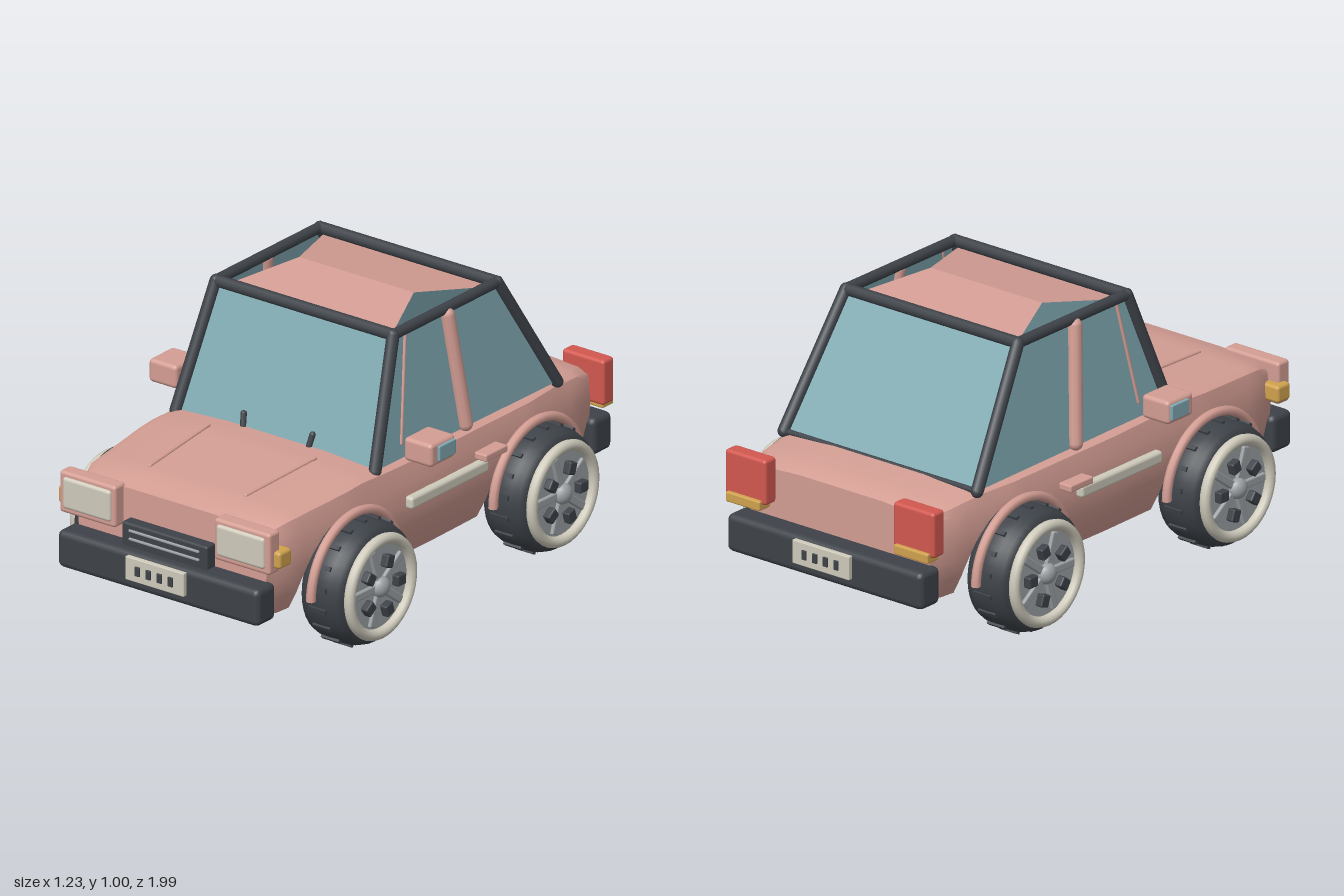
import * as THREE from 'three';
import { toCreasedNormals } from 'three/addons/utils/BufferGeometryUtils.js';
import { RoundedBoxGeometry } from 'three/addons/geometries/RoundedBoxGeometry.js';

const mat = (name, color, side = THREE.FrontSide) => new THREE.MeshStandardMaterial({ name, color, side });
const V = (x, y, z) => new THREE.Vector3(x, y, z);

export function createModel() {
  const paint = mat('pinkPaint', 0xd49e94, THREE.DoubleSide);
  const glass = mat('tealGlass', 0x80a9b2, THREE.DoubleSide);
  const dark = mat('charcoal', 0x3e4349);
  const cream = mat('cream', 0xcfcbbc);
  const steel = mat('steel', 0x9da2a5);
  const red = mat('tailRed', 0xd2584f);
  const amber = mat('amber', 0xd0a24e);

  const car = new THREE.Group();
  car.name = 'car';

  const add = (name, geo, material, x = 0, y = 0, z = 0, parent = car) => {
    const m = new THREE.Mesh(geo, material);
    m.name = name;
    m.position.set(x, y, z);
    parent.add(m);
    return m;
  };
  // Rounded box given by its size and centre
  const box = (name, material, [w, h, d], [x, y, z], r = 0.012, parent = car) =>
    add(name, new RoundedBoxGeometry(w, h, d, 2, Math.min(r, w / 2.1, h / 2.1, d / 2.1)), material, x, y, z, parent);
  // Round bar between two points
  const bar = (name, material, a, b, r) => {
    const m = add(name, new THREE.CapsuleGeometry(r, a.distanceTo(b), 4, 10), material);
    m.position.copy(a).lerp(b, 0.5);
    m.quaternion.setFromUnitVectors(V(0, 1, 0), b.clone().sub(a).normalize());
  };
  // Flat panel through a loop of corners
  const panel = (name, material, pts) => {
    const g = new THREE.BufferGeometry().setFromPoints(pts);
    const idx = [];
    for (let i = 1; i < pts.length - 1; i++) idx.push(0, i, i + 1);
    g.setIndex(idx);
    const flat = g.toNonIndexed();
    flat.computeVertexNormals();
    add(name, flat, material);
  };

  // Body: cross-sections from nose to tail, with the arches cut through the underside
  const lookup = (table, v) => {
    for (let i = 1; i < table.length; i++) {
      const [a, fa] = table[i - 1], [b, fb] = table[i];
      if (v <= b) return fa + (fb - fa) * Math.max(0, (v - a) / (b - a));
    }
    return table[table.length - 1][1];
  };
  const topAt = z => lookup([[-0.89, 0.5], [-0.84, 0.52], [-0.65, 0.54], [0.3, 0.555], [0.42, 0.56], [0.8, 0.535], [0.89, 0.51]], z);
  const widthAt = z => lookup([[-0.89, 0.4], [-0.8, 0.43], [-0.5, 0.465], [0, 0.475], [0.5, 0.465], [0.8, 0.435], [0.89, 0.405]], z);
  const bulge = y => lookup([[0.18, 0.86], [0.25, 0.94], [0.32, 0.985], [0.4, 1], [0.48, 0.985]], y);

  const stations = [[0.89, 0.2], [0.85, 0.185], [0.8, 0.18]];
  const R = 0.24, archY = 0.23;
  for (const c of [0.5, -0.5]) {
    stations.push([c + R, 0.18]);
    for (let i = 0; i <= 20; i++) {
      const a = (i / 20) * Math.PI;
      stations.push([c + R * Math.cos(a), archY + R * Math.sin(a)]);
    }
    stations.push([c - R, 0.18]);
    if (c > 0) stations.push([0.12, 0.18], [0, 0.18], [-0.12, 0.18]);
  }
  stations.push([-0.8, 0.18], [-0.85, 0.185], [-0.89, 0.2]);

  const section = ([z, b]) => {
    const w = widthAt(z), t = topAt(z);
    const half = [[w * bulge(b), b]];
    for (const l of [0.25, 0.32, 0.4, 0.48]) {
      const y = Math.max(b, l);
      half.push([w * bulge(y), y]);
    }
    half.push([w * 0.955, t - 0.015], [w * 0.88, t], [w * 0.45, t + 0.01]);
    return [...half, ...half.slice().reverse().map(([x, y]) => [-x, y])].map(([x, y]) => [x, y, z]);
  };
  const rings = stations.map(section);
  const n = rings[0].length;
  const pos = rings.flat(2), idx = [];
  for (let i = 0; i < rings.length - 1; i++) {
    for (let j = 0; j < n; j++) {
      const k = (j + 1) % n, a = i * n + j, b = a + n, c = i * n + k, d = c + n;
      idx.push(a, b, c, b, d, c);
    }
  }
  const last = (rings.length - 1) * n;
  for (let j = 1; j < n - 1; j++) idx.push(0, j, j + 1, last, last + j + 1, last + j);
  const bodyGeo = new THREE.BufferGeometry();
  bodyGeo.setAttribute('position', new THREE.Float32BufferAttribute(pos, 3));
  bodyGeo.setIndex(idx);
  add('body', toCreasedNormals(bodyGeo, 0.6), paint);

  // Cabin corners, side s = +1 left, -1 right
  const fb = s => V(0.425 * s, 0.55, 0.325), ft = s => V(0.378 * s, 0.985, 0.165);
  const rb = s => V(0.425 * s, 0.54, -0.675), rt = s => V(0.378 * s, 0.985, -0.405);

  panel('windscreen', glass, [fb(-1), fb(1), ft(1), ft(-1)]);
  panel('rearWindow', glass, [rb(1), rb(-1), rt(-1), rt(1)]);
  bar('frontRoofRail', dark, ft(-1), ft(1), 0.021);
  bar('rearRoofRail', dark, rt(-1), rt(1), 0.021);
  bar('rearWindowSill', dark, rb(-1), rb(1), 0.011);

  // Roof: two slopes meeting at a ridge, open at the ends
  for (const z of [0.16, -0.4]) {
    panel('roofPanel', paint, z > 0
      ? [V(-0.36, 0.965, z), V(0.36, 0.965, z), V(0.245, 1.008, -0.12), V(-0.245, 1.008, -0.12)]
      : [V(0.36, 0.965, z), V(-0.36, 0.965, z), V(-0.245, 1.008, -0.12), V(0.245, 1.008, -0.12)]);
  }

  // Wheel, built with its outer face towards +y
  const profile = [[0.14, -0.085], [0.185, -0.09], [0.208, -0.075], [0.218, -0.045], [0.22, 0], [0.218, 0.045],
    [0.208, 0.075], [0.185, 0.09], [0.145, 0.088], [0.14, 0.06], [0.14, -0.085]].map(([r, y]) => new THREE.Vector2(r, y));
  const makeWheel = name => {
    const w = new THREE.Group();
    w.name = name;
    add('tyre', toCreasedNormals(new THREE.LatheGeometry(profile, 40), 0.8), dark, 0, 0, 0, w);
    add('wheelBack', new THREE.CylinderGeometry(0.142, 0.142, 0.02, 32), dark, 0, 0.0, 0, w);
    add('rim', new THREE.CylinderGeometry(0.155, 0.145, 0.08, 32), steel, 0, 0.052, 0, w);
    const ring = add('whitewall', new THREE.TorusGeometry(0.17, 0.02, 10, 40), cream, 0, 0.1, 0, w);
    ring.rotation.x = Math.PI / 2;
    const hub = add('hubCap', new THREE.SphereGeometry(0.038, 16, 10), steel, 0, 0.1, 0, w);
    hub.scale.y = 0.8;
    for (let i = 0; i < 18; i++) {
      const a = (i / 18) * Math.PI * 2;
      const t = add('treadBlock', new THREE.BoxGeometry(0.018, 0.075, 0.016), dark, 0.218 * Math.cos(a), 0, -0.218 * Math.sin(a), w);
      t.rotation.y = a;
    }
    for (let i = 0; i < 5; i++) {
      const a = (i / 5) * Math.PI * 2 + 0.3;
      const lug = box('rimBlock', dark, [0.045, 0.03, 0.04], [0.092 * Math.cos(a), 0.108, -0.092 * Math.sin(a)], 0.006, w);
      lug.rotation.y = a;
      const b = a + Math.PI / 5;
      const spoke = box('spoke', steel, [0.12, 0.02, 0.03], [0.085 * Math.cos(b), 0.094, -0.085 * Math.sin(b)], 0.006, w);
      spoke.rotation.y = b;
    }
    return w;
  };

  // Everything mirrored left and right
  for (const s of [1, -1]) {
    panel('sideWindow', glass, s > 0 ? [fb(s), rb(s), rt(s), ft(s)] : [rb(s), fb(s), ft(s), rt(s)]);
    bar('frontPillar', dark, fb(s), ft(s), 0.022);
    bar('rearPillar', dark, rb(s), rt(s), 0.022);
    bar('sideRoofRail', dark, ft(s), rt(s), 0.02);
    bar('doorPillar', paint, V(0.43 * s, 0.56, -0.165), V(0.388 * s, 0.965, -0.12), 0.026);
    bar('windowDivider', paint, V(0.42 * s, 0.6, 0.175), V(0.382 * s, 0.97, 0.105), 0.006);

    for (const z of [0.5, -0.5]) {
      const wheel = makeWheel(z > 0 ? 'frontWheel' : 'rearWheel');
      wheel.position.set(0.485 * s, 0.23, z);
      wheel.rotation.z = -s * Math.PI / 2;
      car.add(wheel);
      const arch = add('wheelArch', new THREE.TorusGeometry(0.243, 0.017, 8, 28, Math.PI), paint, 0.477 * s, archY, z);
      arch.rotation.y = Math.PI / 2;
    }

    box('doorTrim', cream, [0.035, 0.046, 0.425], [0.481 * s, 0.41, 0.002]);
    box('doorHandle', paint, [0.06, 0.026, 0.12], [0.485 * s, 0.45, -0.23], 0.006);
    box('mirror', paint, [0.12, 0.085, 0.135], [0.545 * s, 0.623, 0.18], 0.015);
    box('mirrorGlass', glass, [0.02, 0.055, 0.09], [0.605 * s, 0.625, 0.168], 0.004);

    box('headlightHousing', paint, [0.24, 0.152, 0.06], [0.33 * s, 0.455, 0.905]);
    box('headlight', cream, [0.205, 0.115, 0.03], [0.328 * s, 0.457, 0.93]);
    box('indicator', amber, [0.08, 0.062, 0.068], [0.435 * s, 0.43, 0.877]);
    box('tailLight', red, [0.18, 0.165, 0.06], [0.37 * s, 0.467, -0.915]);
    box('rearIndicator', amber, [0.15, 0.036, 0.06], [0.37 * s, 0.385, -0.93], 0.006);

    bar('wiper', dark, V(0.138 * s, 0.55, 0.325), V(0.147 * s, 0.607, 0.31), 0.011);
    bar('hoodCrease', paint, V(0.228 * s, 0.572, 0.4), V(0.205 * s, 0.549, 0.75), 0.007);
  }

  // Front grille, bumpers and number plates
  box('grille', dark, [0.365, 0.09, 0.06], [0, 0.37, 0.905], 0.008);
  for (const y of [0.39, 0.36]) box('grilleSlat', steel, [0.3, 0.009, 0.012], [0, y, 0.935], 0.003);
  for (const s of [1, -1]) {
    box('bumper', dark, [0.86, 0.136, 0.105], [0, 0.263, 0.922 * s], 0.022);
    box('plate', cream, [0.25, 0.085, 0.02], [0, 0.278, 0.98 * s], 0.003);
    for (let i = 0; i < 4; i++) {
      box('plateMark', dark, [0.02, 0.034, 0.008], [(i - 1.5) * 0.047, 0.278, 0.992 * s], 0.002);
    }
  }
  return car;
}
